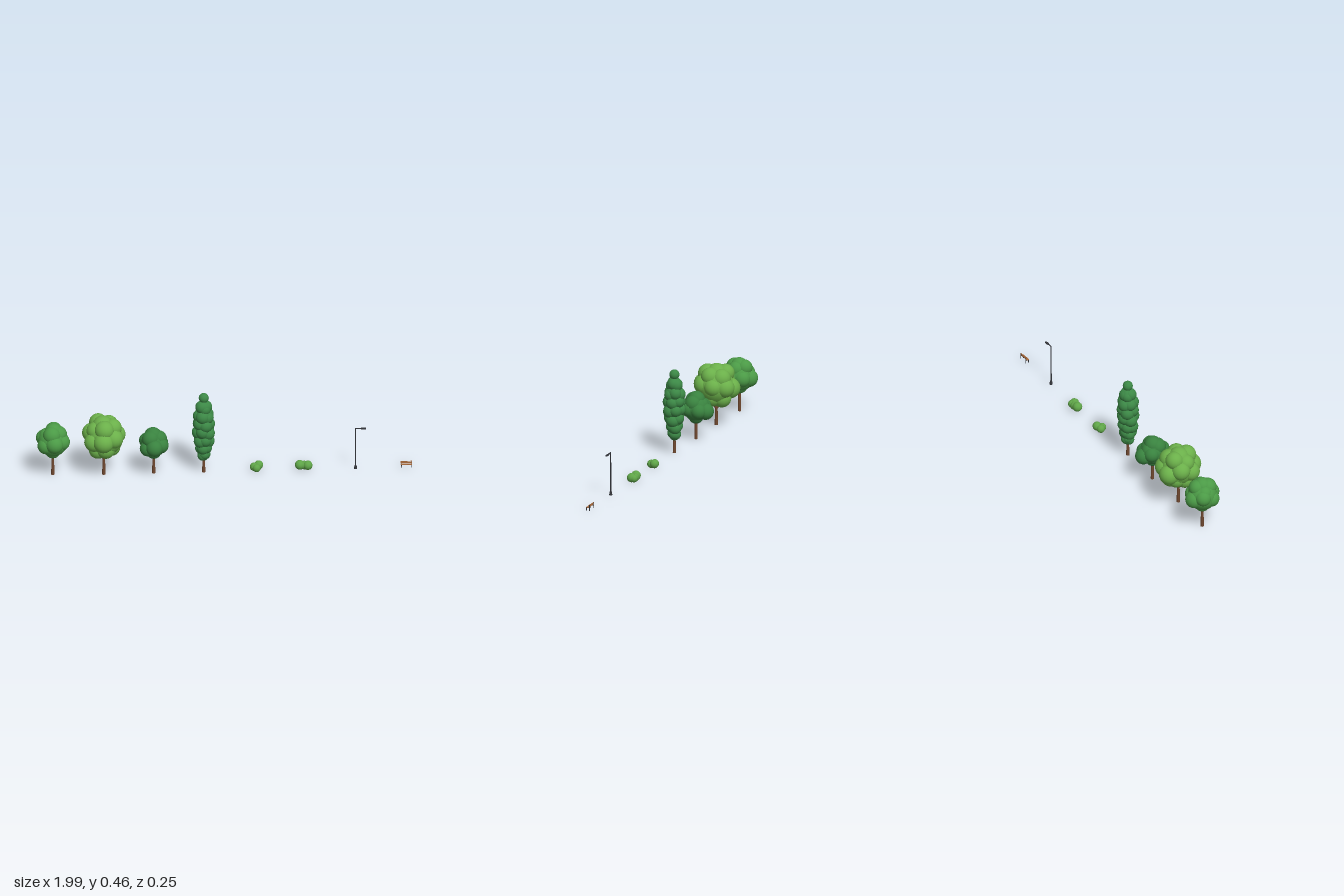
import * as THREE from 'three';
import { mergeGeometries } from 'three/addons/utils/BufferGeometryUtils.js';

const mat = (color) => new THREE.MeshStandardMaterial({ color });
const bark = mat(0x70482f);
const metal = mat(0x34363b);
const wood = mat(0xa8693a);

function add(parent, name, geometry, material, x = 0, y = 0, z = 0) {
  const mesh = new THREE.Mesh(geometry, material);
  mesh.name = name;
  mesh.position.set(x, y, z);
  parent.add(mesh);
  return mesh;
}

// Leafy mass made of overlapping balls [x, y, z, radius], kept above the ground
function foliage(lobes) {
  return mergeGeometries(lobes.map(([x, y, z, r], i) => {
    const g = new THREE.SphereGeometry(r, 18, 12);
    g.rotateY(i * 0.7).translate(x, y, z);
    const p = g.attributes.position;
    for (let k = 0; k < p.count; k++) p.setY(k, Math.max(0, p.getY(k)));
    return g;
  }));
}

// Ring of balls with a slight, repeatable unevenness
function ring(count, y, rx, rz, r, phase = 0, wobble = 0.012) {
  return Array.from({ length: count }, (_, i) => {
    const a = phase + (i / count) * Math.PI * 2;
    return [Math.cos(a) * rx, y + wobble * Math.sin(i * 2.4 + phase), Math.sin(a) * rz, r * (1 + 0.05 * Math.sin(i * 1.9))];
  });
}

function tree(name, x, z, color, trunkTop, lobes, branches = 0) {
  const group = new THREE.Group();
  group.name = name;
  group.position.set(x, 0, z);
  add(group, 'trunk', new THREE.CylinderGeometry(0.006, 0.009, trunkTop, 10), bark, 0, trunkTop / 2, 0);
  for (let i = 0; i < branches; i++) {
    const a = 0.3 + (i / branches) * Math.PI * 2;
    const path = new THREE.LineCurve3(
      new THREE.Vector3(0, 0.085, 0),
      new THREE.Vector3(Math.cos(a) * 0.04, 0.15, Math.sin(a) * 0.04));
    add(group, 'branch', new THREE.TubeGeometry(path, 1, 0.004, 6), bark);
  }
  add(group, 'crown', foliage(lobes), mat(color));
  return group;
}

function bush(name, x, z, lobes) {
  const group = new THREE.Group();
  group.name = name;
  group.position.set(x, 0, z);
  add(group, 'leaves', foliage(lobes), mat(0x5fa548));
  return group;
}

function streetLamp(x, z) {
  const lamp = new THREE.Group();
  lamp.name = 'streetLamp';
  lamp.position.set(x, 0, z);
  add(lamp, 'base', new THREE.CylinderGeometry(0.006, 0.009, 0.018, 10), metal, 0, 0.009, 0);
  add(lamp, 'pole', new THREE.CylinderGeometry(0.0025, 0.004, 0.236, 10), metal, 0, 0.118, 0);
  add(lamp, 'arm', new THREE.BoxGeometry(0.04, 0.004, 0.004), metal, 0.018, 0.236, 0);
  add(lamp, 'head', new THREE.BoxGeometry(0.026, 0.006, 0.01), metal, 0.042, 0.234, 0);
  add(lamp, 'light', new THREE.BoxGeometry(0.02, 0.002, 0.007), mat(0xe8dcb0), 0.042, 0.2305, 0);
  return lamp;
}

function bench(x, z) {
  const group = new THREE.Group();
  group.name = 'bench';
  group.position.set(x, 0, z);
  // Seat slats
  for (const dz of [-0.003, 0.002, 0.007])
    add(group, 'seatSlat', new THREE.BoxGeometry(0.06, 0.002, 0.0044), wood, 0, 0.018, dz);
  // Back slats
  for (const y of [0.024, 0.0305])
    add(group, 'backSlat', new THREE.BoxGeometry(0.06, 0.0045, 0.002), wood, 0, y, -0.008);
  // Side frames
  for (const s of [-1, 1]) {
    add(group, 'backLeg', new THREE.BoxGeometry(0.003, 0.032, 0.002), metal, s * 0.026, 0.016, -0.0098);
    add(group, 'frontLeg', new THREE.BoxGeometry(0.003, 0.017, 0.003), metal, s * 0.026, 0.0085, 0.007);
    add(group, 'seatRail', new THREE.BoxGeometry(0.003, 0.002, 0.018), metal, s * 0.026, 0.016, -0.001);
  }
  return group;
}

export function createModel() {
  const model = new THREE.Group();
  model.name = 'parkSet';

  // Round tree
  model.add(tree('roundTree', -0.905, -0.015, 0x4b9a46, 0.17, [
    [0, 0.195, 0, 0.081], [0.004, 0.25, 0, 0.048], [0, 0.143, 0, 0.044],
    ...ring(6, 0.195, 0.048, 0.053, 0.046, 0.4),
    ...ring(4, 0.235, 0.03, 0.03, 0.046, 0.2),
  ]));

  // Broad tree
  model.add(tree('broadTree', -0.635, -0.005, 0x6bb04a, 0.18, [
    [0.005, 0.22, 0, 0.1], [-0.005, 0.282, 0, 0.058],
    ...ring(7, 0.22, 0.066, 0.074, 0.053, 0.75, 0.016),
    ...ring(5, 0.275, 0.047, 0.05, 0.05, 0.3),
    ...ring(5, 0.163, 0.038, 0.042, 0.05, 0.1, 0.008),
  ], 3));

  // Small dark tree
  model.add(tree('smallTree', -0.37, -0.01, 0x39823f, 0.15, [
    [0, 0.172, 0, 0.07], [-0.004, 0.217, 0, 0.047], [0, 0.126, 0, 0.04],
    ...ring(6, 0.167, 0.04, 0.055, 0.043, 0.5),
    ...ring(3, 0.2, 0.026, 0.026, 0.045, 0.2),
  ]));

  // Tall narrow tree: stacked tiers [height, reach, ball radius]
  const tiers = [[0.105, 0.008, 0.028], [0.145, 0.015, 0.032], [0.19, 0.02, 0.036],
    [0.24, 0.026, 0.036], [0.285, 0.025, 0.036], [0.33, 0.022, 0.036], [0.38, 0.012, 0.034]];
  const column = [[0, 0.435, 0, 0.027], [0, 0.095, 0, 0.026]];
  tiers.forEach(([y, reach, r], i) =>
    column.push([0, y, 0, r + reach * 0.6], ...ring(5, y, reach, reach, r, i * 0.63, 0.006)));
  model.add(tree('tallTree', -0.105, -0.007, 0x3c8846, 0.12, column));

  // Bushes
  model.add(bush('smallBush', 0.175, -0.015, [
    [-0.012, 0.02, -0.002, 0.023], [0.012, 0.026, -0.011, 0.024], [0, 0.019, 0.013, 0.022]]));
  model.add(bush('wideBush', 0.425, -0.02, [
    [-0.02, 0.024, 0, 0.026], [0.022, 0.023, 0.006, 0.025],
    [0.004, 0.02, -0.004, 0.023], [0.024, 0.021, -0.008, 0.021]]));

  model.add(streetLamp(0.7, -0.01), bench(0.97, -0.014));
  return model;
}
